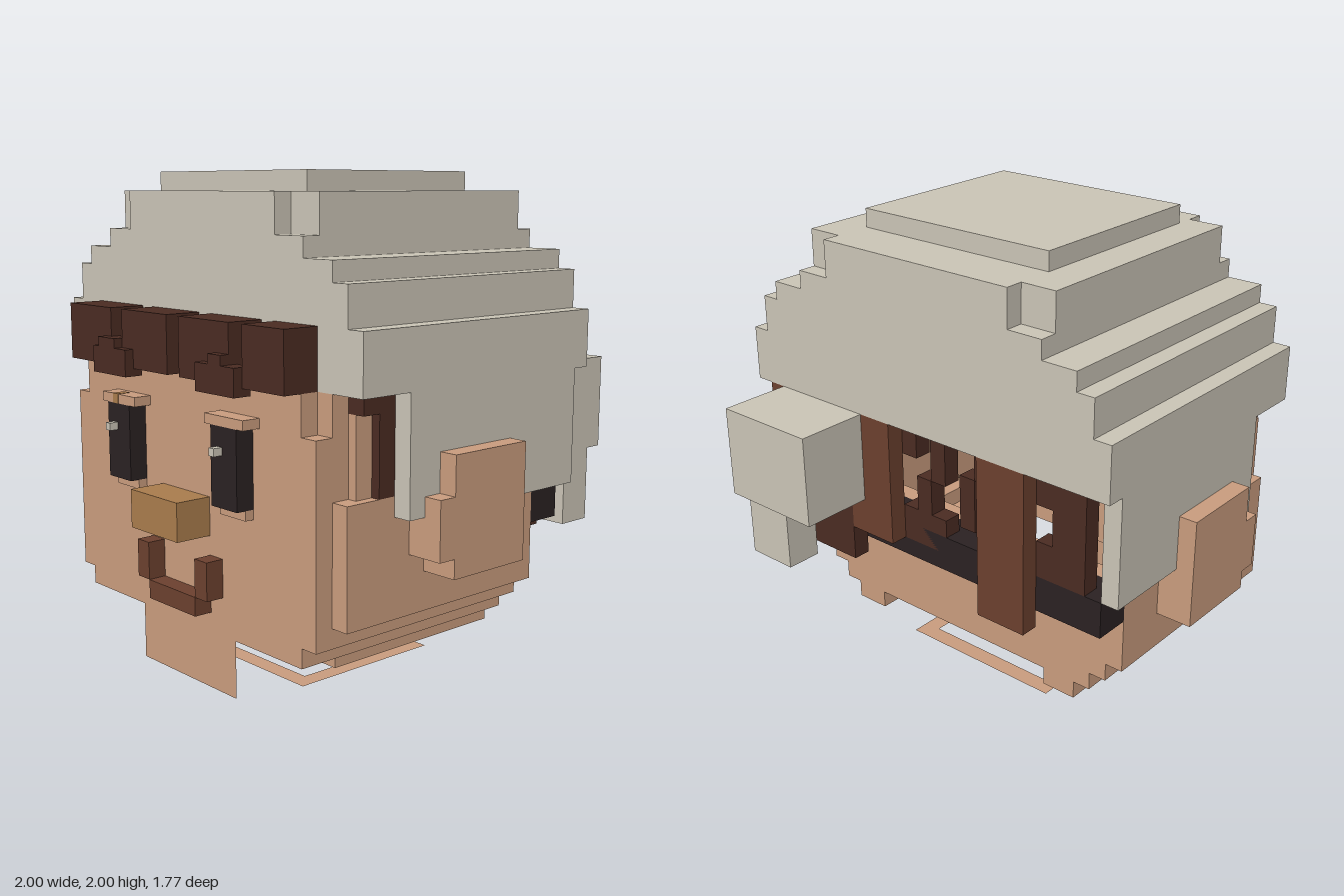
import * as THREE from 'three';

const U = 1 / 13; // one block

const material = (name, color) => {
  const m = new THREE.MeshStandardMaterial({ color });
  m.name = name;
  return m;
};

export function createModel() {
  const model = new THREE.Group();
  model.name = 'blockHead';
  const cloth = material('cloth', 0xc9c3b5);
  const skin = material('skin', 0xc89b7d);
  skin.side = THREE.DoubleSide;
  const darkHair = material('darkHair', 0x4a2b22);
  const brown = material('brown', 0x6b402e);
  const black = material('black', 0x2a2122);
  const nose = material('nose', 0xa87b4c);

  // Box from its low and high corners, in blocks
  const box = (name, mat, x0, x1, y0, y1, z0, z1) => {
    const g = new THREE.BoxGeometry((x1 - x0) * U, (y1 - y0) * U, (z1 - z0) * U);
    g.translate((x0 + x1) / 2 * U, (y0 + y1) / 2 * U, (z0 + z1) / 2 * U);
    const mesh = new THREE.Mesh(g, mat);
    mesh.name = name;
    model.add(mesh);
  };
  const pair = (name, mat, x0, x1, ...rest) => {
    box(name + 'Left', mat, x0, x1, ...rest);
    box(name + 'Right', mat, -x1, -x0, ...rest);
  };

  // Stepped cap: half width, bottom, top
  [[12, 16, 19], [11, 19, 21], [10, 21, 22], [8, 22, 23]].forEach(([w, y0, y1]) =>
    box('capTier', cloth, -w, w, y0, y1, -7.5, 8.5));
  box('capCrown', cloth, -8, 8, 23, 25, -6.5, 7.5);
  box('capCrownFront', cloth, -6, 6, 23, 25, 7.5, 8.5);
  box('capCrownBack', cloth, -6, 6, 23, 25, -7.5, -6.5);
  box('capTop', cloth, -6, 6, 25, 26, -4.5, 6.5);
  pair('capSide', cloth, 11, 12, 10, 16, -6.5, 5.5);

  // Knot and hanging end
  box('knot', cloth, 4, 10, 11, 16, -11.5, -7.5);
  box('knotTail', cloth, 7, 10, 7, 11, -10.5, -8.5);

  // Hollow head: face plate, sides, back wall; half width, bottom, top
  [[9, 3, 4], [10, 4, 14], [9, 14, 16]].forEach(([w, y0, y1]) =>
    box('face', skin, -w, w, y0, y1, 8.5, 9.5));
  box('foreheadMiddle', skin, 0, 1, 16, 17, 8.5, 9.5);
  pair('foreheadSide', skin, 4, 6, 16, 17, 8.5, 9.3);
  [[9, 3, 4], [10, 4, 5], [11, 5, 10]].forEach(([w, y0, y1]) => {
    pair('cheek', skin, w - 1, w, y0, y1, -4.5, 8.5);
    box('headBack', skin, 1 - w, w - 1, y0, y1, -4.5, -3.5);
  });
  pair('upperCheek', skin, 10, 11, 10, 11, -4.5, 8.5);
  pair('temple', skin, 9, 10, 11, 16, 7.5, 8.5);
  pair('templeBack', skin, 9, 10.5, 11, 15, 6.5, 7.5);
  pair('innerSide', skin, 10, 11, 11, 16, -4.5, 5.5);
  pair('jawBar', skin, 6, 8, 2, 3, -4.5, 6.5);

  // Ears
  pair('ear', skin, 11, 13, 7, 13, -1.5, 3.5);
  pair('earFront', skin, 11, 13, 8, 11, 3.5, 4.5);

  // Neck plate and flat neck ring
  const neck = new THREE.Mesh(new THREE.PlaneGeometry(8 * U, 3 * U), skin);
  neck.name = 'neckPlate';
  neck.position.set(0, 1.5 * U, 9.5 * U);
  model.add(neck);
  const rect = (S, x, y0, y1) => {
    const s = new S();
    s.moveTo(-x * U, y0 * U);
    s.lineTo(x * U, y0 * U);
    s.lineTo(x * U, y1 * U);
    s.lineTo(-x * U, y1 * U);
    s.closePath();
    return s;
  };
  const ringShape = rect(THREE.Shape, 5, -6, 3);
  ringShape.holes.push(rect(THREE.Path, 4, -5, 2));
  const ring = new THREE.Mesh(new THREE.ShapeGeometry(ringShape), skin);
  ring.name = 'neckRing';
  ring.rotation.x = -Math.PI / 2;
  ring.position.y = 0.001;
  model.add(ring);

  // Fringe, sideburns and brows
  [[-9, -5], [-4, 0], [1, 5], [6, 9]].forEach(([x0, x1]) =>
    box('fringe', darkHair, x0, x1, 16, 19, 8.5, 10.5));
  pair('sideburn', darkHair, 9, 11, 11, 16, 5.5, 6.5);
  pair('sideburnTop', darkHair, 9, 11, 15, 16, 6.5, 7.5);
  pair('brow', darkHair, 3, 6, 15.6, 17, 10, 11);
  box('browTipLeft', darkHair, 4, 5, 17, 17.5, 10, 11);
  box('browTipRight', darkHair, -5.5, -4, 17, 17.5, 10, 11);

  // Eyes with lids
  pair('eye', black, 3.5, 5.5, 10, 14, 9.5, 10.5);
  pair('upperLid', skin, 3, 6, 14, 14.5, 9.5, 10.5);
  pair('lowerLid', skin, 3.5, 5.5, 9.5, 10, 9.5, 10);
  box('eyeGlintLeft', cloth, 4, 4.4, 12.6, 13, 10.5, 11);
  box('eyeGlintRight', cloth, -5, -4.6, 12.6, 13, 10.5, 11);
  box('lidMark', nose, -5, -4.5, 14, 14.52, 9.8, 10.52);

  // Nose and mouth
  box('nose', nose, -2, 2, 8, 10, 9.5, 11.5);
  box('mouth', brown, -2, 2, 4, 5, 9.5, 10.5);
  pair('mouthCorner', brown, 2, 3, 5, 7, 9.5, 10.5);

  // Dark band under the back hair
  box('backBand', black, -11, 11, 8, 10, -6.5, -4.5);

  // Ragged back hair with gaps: x from, x to, bottom, top
  [[8, 11, 11, 16], [2, 5, 9, 16], [-7, -4, 7, 16]].forEach(([x0, x1, y0, y1]) =>
    box('backLock', brown, x0, x1, y0, y1, -7.5, -6.5));
  box('lowLock', darkHair, 5, 9, 7, 11, -7.5, -6.5);
  [[-10, -8, 10, 16], [-8, -7, 10, 12], [-8, -7, 14, 16], [-1, 2, 9, 11], [-3, -2, 11, 14],
    [0, 1, 11, 13], [-1, 0, 13, 16], [-4, -3, 14, 16], [1, 2, 14, 16], [5, 8, 11, 16]]
    .forEach(([x0, x1, y0, y1]) => box('hairStrand', darkHair, x0, x1, y0, y1, -6.5, -5.5));
  return model;
}
